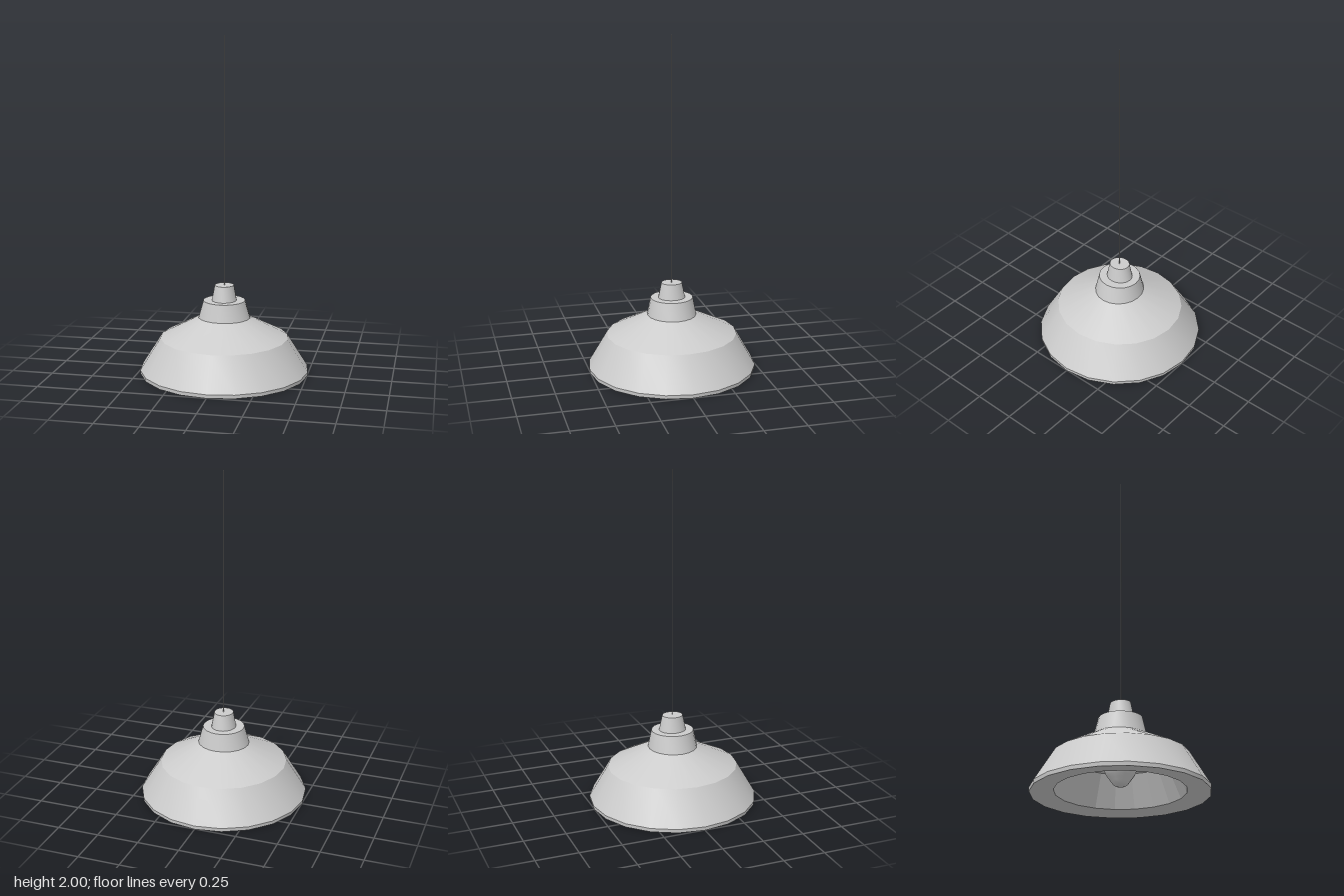
import * as THREE from 'three';
import { toCreasedNormals } from 'three/addons/utils/BufferGeometryUtils.js';

const SIDES = 20;

// Turned part from rings [radius along x, height, radius along z].
function turned(name, rings, { sides = SIDES, flat = false, crease = 0.42 } = {}) {
  const geometry = new THREE.LatheGeometry(rings.map(([r, y]) => new THREE.Vector2(r, y)), sides);
  const position = geometry.attributes.position;
  for (let i = 0; i < position.count; i++) {
    const [rx, , rz = rx] = rings[i % rings.length];
    if (rx > 0) position.setZ(i, position.getZ(i) * rz / rx);
  }
  const material = new THREE.MeshStandardMaterial({ color: 0xcccccc, flatShading: flat });
  const mesh = new THREE.Mesh(flat ? geometry : toCreasedNormals(geometry, crease), material);
  mesh.name = name;
  return mesh;
}

export function createModel() {
  const lamp = new THREE.Group();
  lamp.name = 'pendantLamp';

  // Faceted inside of the shade, from the ceiling down to the wide lip
  lamp.add(turned('shadeInside', [[0, 0.2], [0.285, 0.2], [0.37, 0.015], [0.503, 0]], { flat: true }));

  // Outside of the shade: rim band, steep skirt and shallow shoulder
  lamp.add(turned('shadeOutside', [
    [0.503, 0], [0.505, 0.022], [0.382, 0.217, 0.392], [0.155, 0.335, 0.147],
  ]));

  // Two stacked tapered collars
  lamp.add(turned('collar', [[0.155, 0.335, 0.147], [0.125, 0.44, 0.127], [0, 0.44]]));
  lamp.add(turned('cap', [[0.074, 0.44, 0.081], [0.057, 0.532, 0.062], [0, 0.532]]));

  // Bulb hanging from the ceiling of the shade
  const bulbProfile = new THREE.SplineCurve([
    [0, 0.038], [0.035, 0.047], [0.06, 0.078], [0.085, 0.115],
    [0.092, 0.15], [0.075, 0.188], [0.045, 0.215],
  ].map(([r, y]) => new THREE.Vector2(r, y)));
  lamp.add(turned('bulb', bulbProfile.getPoints(14).map(p => [Math.max(p.x, 0), p.y]), { sides: 16, crease: 1 }));

  // Thin cord up to the ceiling
  const cord = new THREE.Mesh(
    new THREE.CylinderGeometry(0.003, 0.003, 1.47, 8),
    new THREE.MeshStandardMaterial({ color: 0xcccccc }),
  );
  cord.name = 'cord';
  cord.position.set(0.002, 1.265, 0);
  lamp.add(cord);

  return lamp;
}
